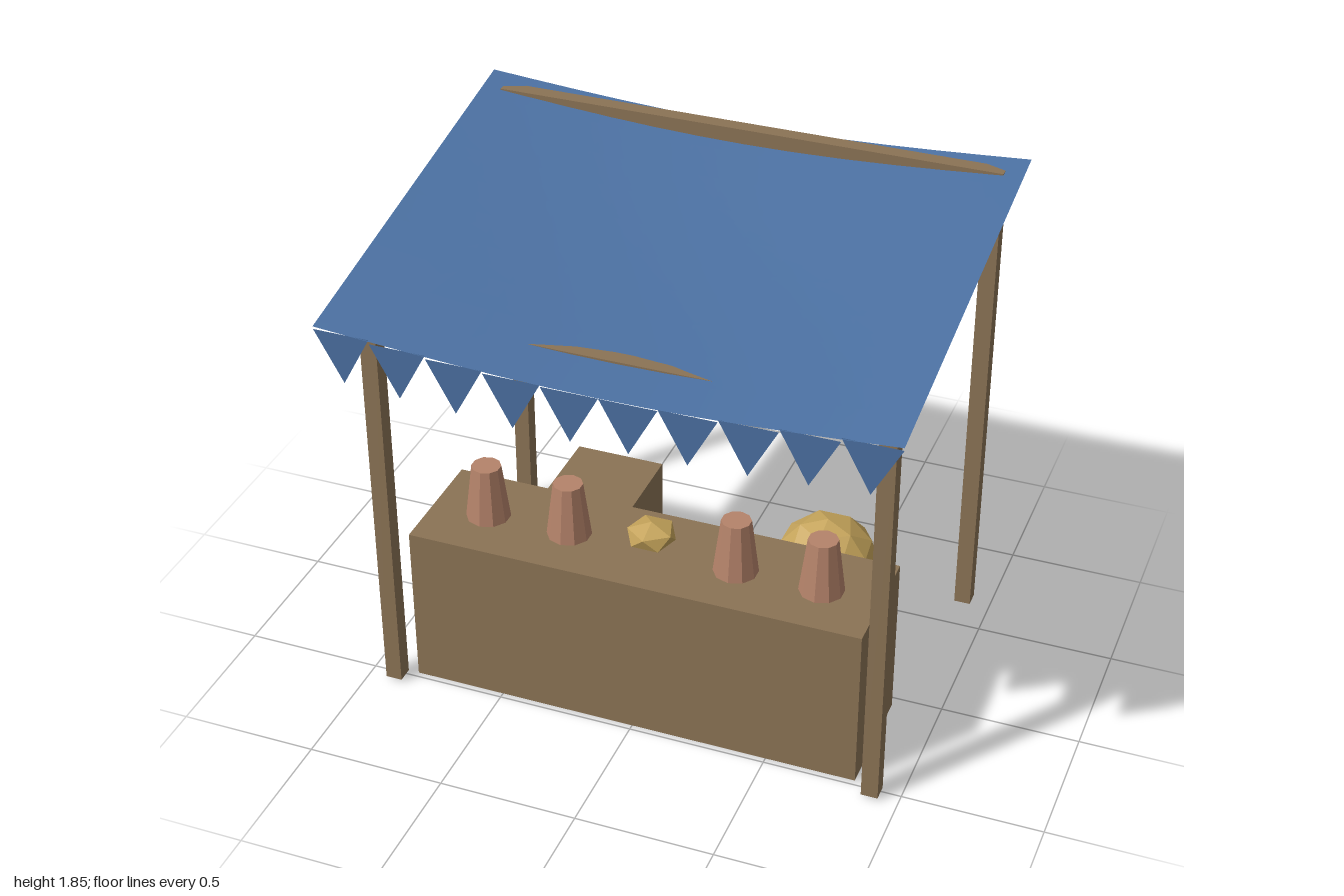
import * as THREE from 'three';

const mat = (color, extra = {}) => {
  const m = new THREE.MeshStandardMaterial(extra);
  m.color.set(color);
  return m;
};

export function createModel() {
  const group = new THREE.Group();
  const wood = mat(0x8b7355);
  const clay = mat(0xb5836a, { flatShading: true });
  const straw = mat(0xc4a35a, { flatShading: true });
  const cloth = mat(0x4a6fa0, { side: THREE.DoubleSide });

  const add = (name, geometry, material, x = 0, y = 0, z = 0) => {
    const mesh = new THREE.Mesh(geometry, material);
    mesh.name = name;
    mesh.position.set(x, y, z);
    group.add(mesh);
    return mesh;
  };
  // Box given by its centre in x and z and its bottom and top
  const box = (name, w, d, y0, y1, x, z) =>
    add(name, new THREE.BoxGeometry(w, y1 - y0, d), wood, x, (y0 + y1) / 2, z);

  // Frame: two short front posts, two tall back posts, a beam across each pair
  for (const [side, z, top] of [['front', 0.52, 1.55], ['back', -0.653, 1.825]]) {
    for (const s of [-1, 1]) box(side + 'Post', 0.06, 0.06, 0.01, top - 0.025, s * 0.9, z);
    box(side + 'Beam', 1.86, 0.055, top - 0.055, top, 0, z);
  }

  // Counter and storage crate
  box('counter', 1.66, 0.437, 0.01, 0.625, 0, 0.271);
  box('crate', 0.345, 0.345, 0.01, 0.35, -0.483, -0.447);

  // Row of tapered cups on the counter
  for (const x of [-0.62, -0.31, 0.31, 0.62]) {
    add('cup', new THREE.CylinderGeometry(0.053, 0.08, 0.21, 10), clay, x, 0.73, 0.277);
  }

  // Faceted balls standing on a vertex
  const ball = (r, detail) =>
    new THREE.IcosahedronGeometry(r, detail).rotateX(-Math.atan((1 + Math.sqrt(5)) / 2));
  add('roundBale', ball(0.195, 1), straw, 0.415, 0.195, -0.445);
  add('fruit', ball(0.094, 0), straw, 0, 0.7, 0.277).scale.y = 0.53;

  // Sloping canopy that sags toward its middle
  const halfDepth = 0.725;
  const canopyY = (x, z) =>
    1.7075 - 0.19 * z
    - (0.05 + 0.03 * Math.cos((Math.PI * z) / (2 * halfDepth))) * Math.cos((Math.PI * x) / 2);
  const sheet = new THREE.PlaneGeometry(2, halfDepth * 2, 12, 10).rotateX(-Math.PI / 2);
  const p = sheet.attributes.position;
  for (let i = 0; i < p.count; i++) p.setY(i, canopyY(p.getX(i), p.getZ(i)));
  sheet.computeVertexNormals();
  add('canopy', sheet, cloth);

  // Pennants hanging from the front hem
  for (let i = 0; i < 10; i++) {
    const x = -0.9 + i * 0.2;
    const hem = canopyY(x, halfDepth) - 0.003;
    const flag = new THREE.Shape([
      new THREE.Vector2(-0.1, 0), new THREE.Vector2(0, -0.185), new THREE.Vector2(0.1, 0),
    ]);
    add('pennant', new THREE.ShapeGeometry(flag), cloth, x, hem, halfDepth - 0.002);
  }
  return group;
}
